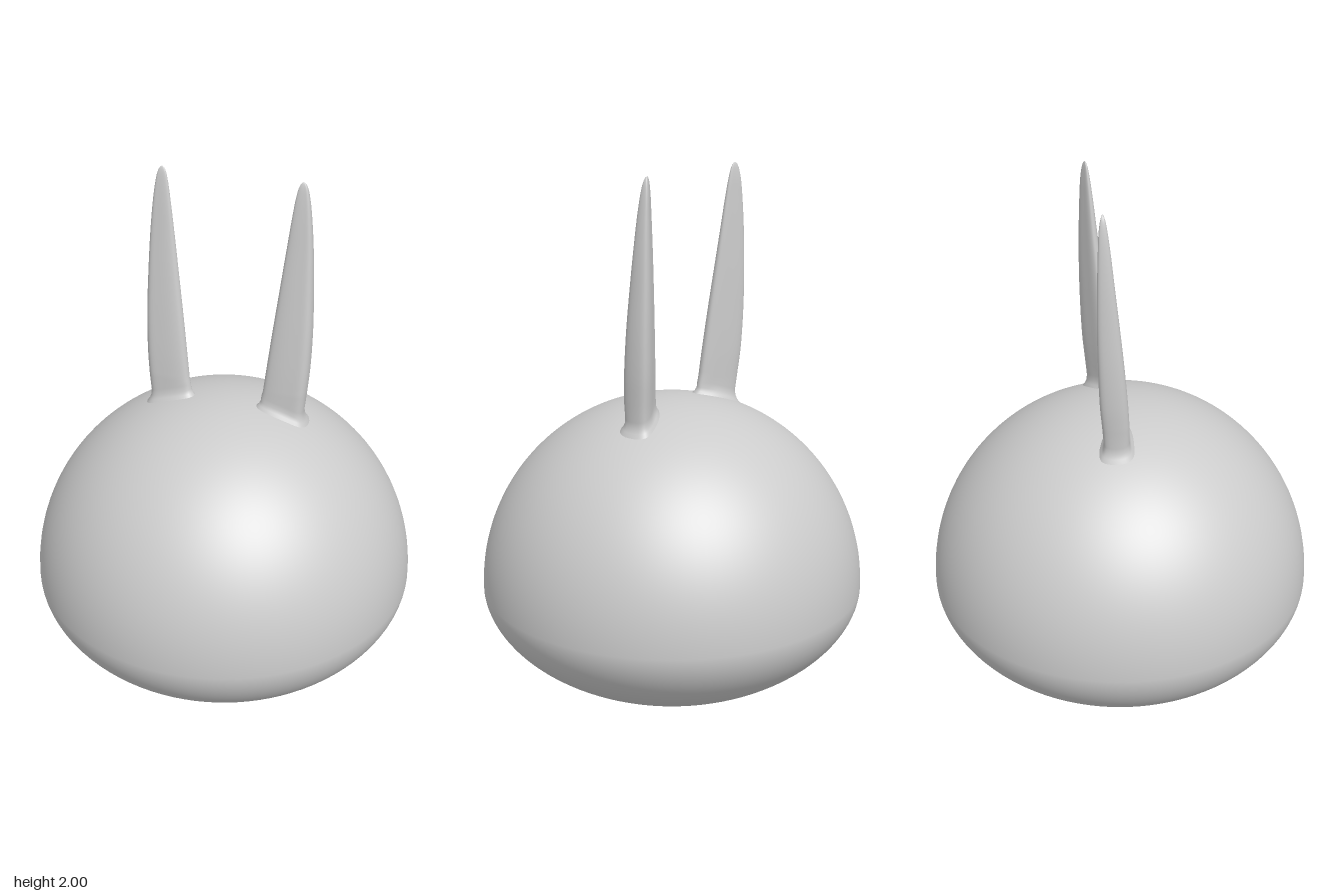
import * as THREE from 'three';

const R = 0.722, MID = 0.43, BOTTOM = 0.005;
const domeY = (x, z) => MID + Math.sqrt(Math.max(0, R * R - x * x - z * z));

// Round dome on top, flatter bowl below
function bodyGeometry() {
  const pts = [], n = 48, p = 1.87;
  for (let i = 0; i <= n; i++) {
    const a = (i / n) * Math.PI / 2;
    pts.push(new THREE.Vector2(R * Math.sin(a) ** (2 / p), MID - (MID - BOTTOM) * Math.cos(a) ** (2 / p)));
  }
  for (let i = 1; i <= n; i++) {
    const a = (i / n) * Math.PI / 2;
    pts.push(new THREE.Vector2(i === n ? 0 : R * Math.cos(a), MID + R * Math.sin(a)));
  }
  return new THREE.LatheGeometry(pts, 96);
}

// Ear cross-section: narrow inner end, flat front, thick outer side (u inner-outer, v back-front)
const section = new THREE.CatmullRomCurve3([
  [0, 0.72], [0.06, 0.92], [0.25, 1], [0.65, 1], [0.9, 0.95], [1, 0.75],
  [0.97, 0.2], [0.88, 0.03], [0.7, 0.04], [0.35, 0.3], [0.08, 0.55],
].map(([u, v]) => new THREE.Vector3(u, 0, v)), true).getPoints(48).slice(0, -1);

// Ear outline: y, inner x, outer x, back z, front z
const rows = [
  [1.2, 0.142, 0.299, -0.1, 0.0], [1.3, 0.153, 0.306, -0.109, -0.007],
  [1.45, 0.17, 0.309, -0.115, -0.021], [1.6, 0.188, 0.305, -0.117, -0.037],
  [1.75, 0.206, 0.298, -0.115, -0.054], [1.87, 0.221, 0.288, -0.111, -0.067],
  [1.94, 0.231, 0.279, -0.107, -0.076], [1.98, 0.24, 0.27, -0.101, -0.083],
  [1.995, 0.248, 0.262, -0.096, -0.088], [2.0, 0.255, 0.255, -0.092, -0.092],
];
const innerBack = new THREE.CatmullRomCurve3(rows.map(r => new THREE.Vector3(r[1], r[0], r[3])));
const outerFront = new THREE.CatmullRomCurve3(rows.map(r => new THREE.Vector3(r[2], r[0], r[4])));

function earGeometry(side) {
  const pos = [], index = [], n = section.length, steps = 45;
  let rings = 0;
  // Flared foot that follows the dome: height above it, spread
  for (const [h, spread] of [[-0.02, 0.03], [0, 0.019], [0.01, 0.009], [0.024, 0.002], [0.045, 0]]) {
    for (const s of section) {
      const dx = s.x - 0.5, dz = s.z - 0.5, len = Math.hypot(dx, dz);
      const x = 0.215 + dx * 0.155 + spread * dx / len;
      const z = -0.047 + dz * 0.095 + spread * dz / len;
      pos.push(side * x, domeY(x, z) + h, z);
    }
    rings++;
  }
  // Tapering blade
  for (let i = 0; i <= steps; i++) {
    const a = innerBack.getPoint(i / steps), b = outerFront.getPoint(i / steps);
    for (const s of section)
      pos.push(side * THREE.MathUtils.lerp(a.x, b.x, s.x), a.y, THREE.MathUtils.lerp(a.z, b.z, s.z));
    rings++;
  }
  for (let i = 0; i < rings - 1; i++) {
    for (let j = 0; j < n; j++) {
      const k = (j + 1) % n;
      const a = i * n + j, b = i * n + k, c = a + n, d = b + n;
      if (side > 0) index.push(a, b, c, b, d, c);
      else index.push(a, c, b, b, c, d);
    }
  }
  const g = new THREE.BufferGeometry();
  g.setAttribute('position', new THREE.Float32BufferAttribute(pos, 3));
  g.setIndex(index);
  g.computeVertexNormals();
  return g;
}

export function createModel() {
  const group = new THREE.Group();
  const material = new THREE.MeshStandardMaterial({ color: 0xcccccc });
  const add = (name, geometry) => {
    const mesh = new THREE.Mesh(geometry, material);
    mesh.name = name;
    group.add(mesh);
  };
  add('head', bodyGeometry());
  add('leftEar', earGeometry(1));
  add('rightEar', earGeometry(-1));
  return group;
}
